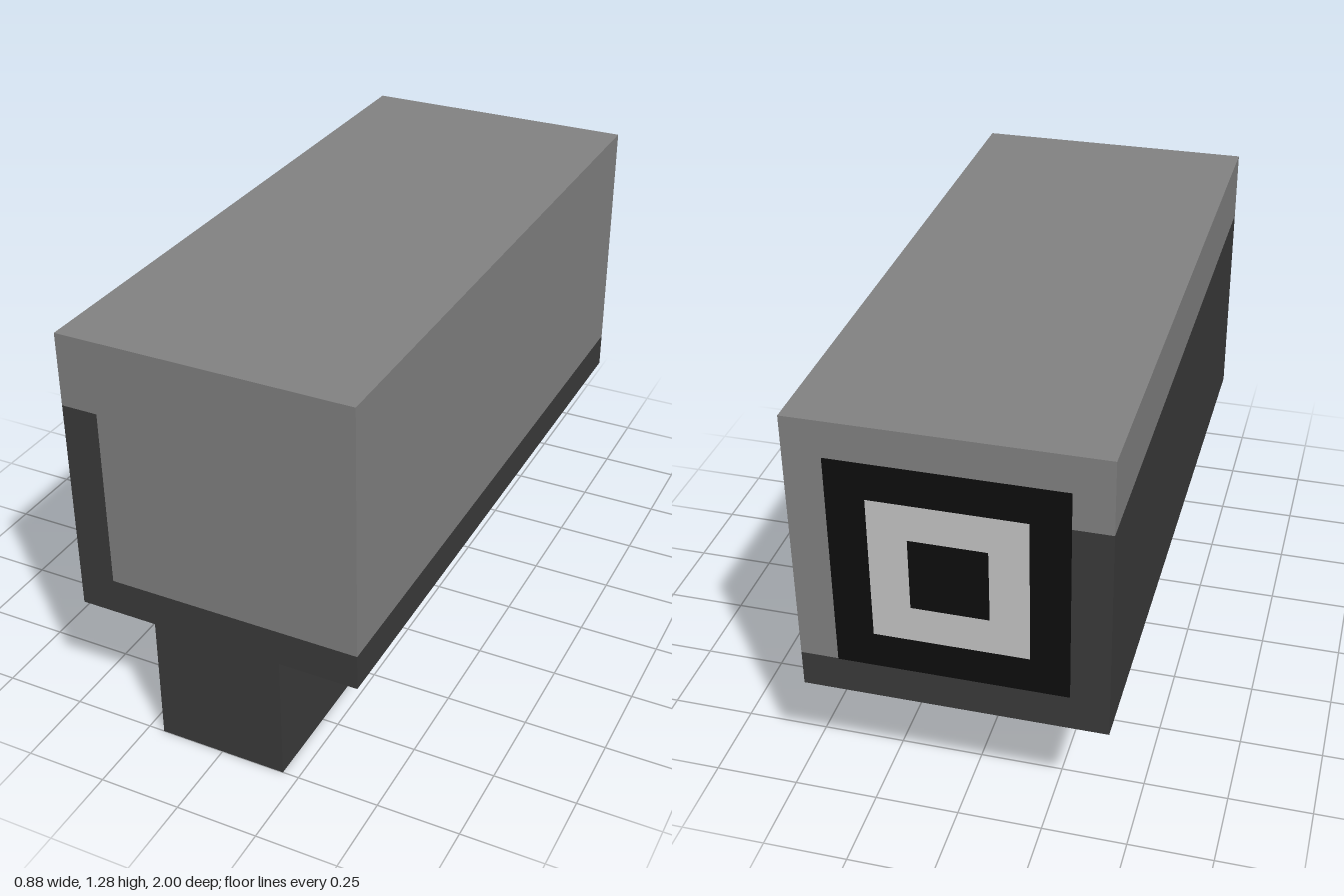
import * as THREE from 'three';

const mat = (name, color) => new THREE.MeshStandardMaterial({ name, color });

// Closed outline from a few corner points
const outline = (pts) => new THREE.Shape(pts.map(([x, y]) => new THREE.Vector2(x, y)));

const square = (half) => [[-half, -half], [half, -half], [half, half], [-half, half]];

export function createModel() {
  const group = new THREE.Group();
  const grey = mat('casing grey', 0x828282);
  const dark = mat('dark grey', 0x3b3b3b);
  const black = mat('black', 0x0d0d0d);
  const pale = mat('pale grey', 0xc6c6c6);

  const add = (name, geometry, material, x = 0, y = 0, z = 0) => {
    const mesh = new THREE.Mesh(geometry, material);
    mesh.name = name;
    mesh.position.set(x, y, z);
    group.add(mesh);
  };
  const extrude = (shape, depth) =>
    new THREE.ExtrudeGeometry(shape, { depth, bevelEnabled: false });

  // Long casing: a dark L-shaped tray along the bottom and right side, grey above
  const w = 0.44, step = -0.33, bottom = 0.4, tray = 0.51, side = 1.06, top = 1.28;
  add('lowerCasing', extrude(outline([
    [-w, bottom], [w, bottom], [w, tray], [step, tray], [step, side], [-w, side],
  ]), 2), dark, 0, 0, -1);
  add('upperCasing', extrude(outline([
    [step, tray], [w, tray], [w, top], [-w, top], [-w, side], [step, side],
  ]), 2), grey, 0, 0, -1);

  // Foot under the front end
  add('foot', new THREE.BoxGeometry(0.4, 0.4, 0.6), dark, 0, 0.2, 0.7);

  // Concentric square plates on the back face
  const plates = [
    ['outerFrame', 0.33, 0.22, black],
    ['middleFrame', 0.22, 0.11, pale],
    ['centrePlate', 0.11, 0, black],
  ];
  for (const [name, outer, inner, material] of plates) {
    const shape = outline(square(outer));
    if (inner) shape.holes.push(outline(square(inner)));
    add(name, extrude(shape, 0.004), material, 0, 0.84, -1.002);
  }
  return group;
}
